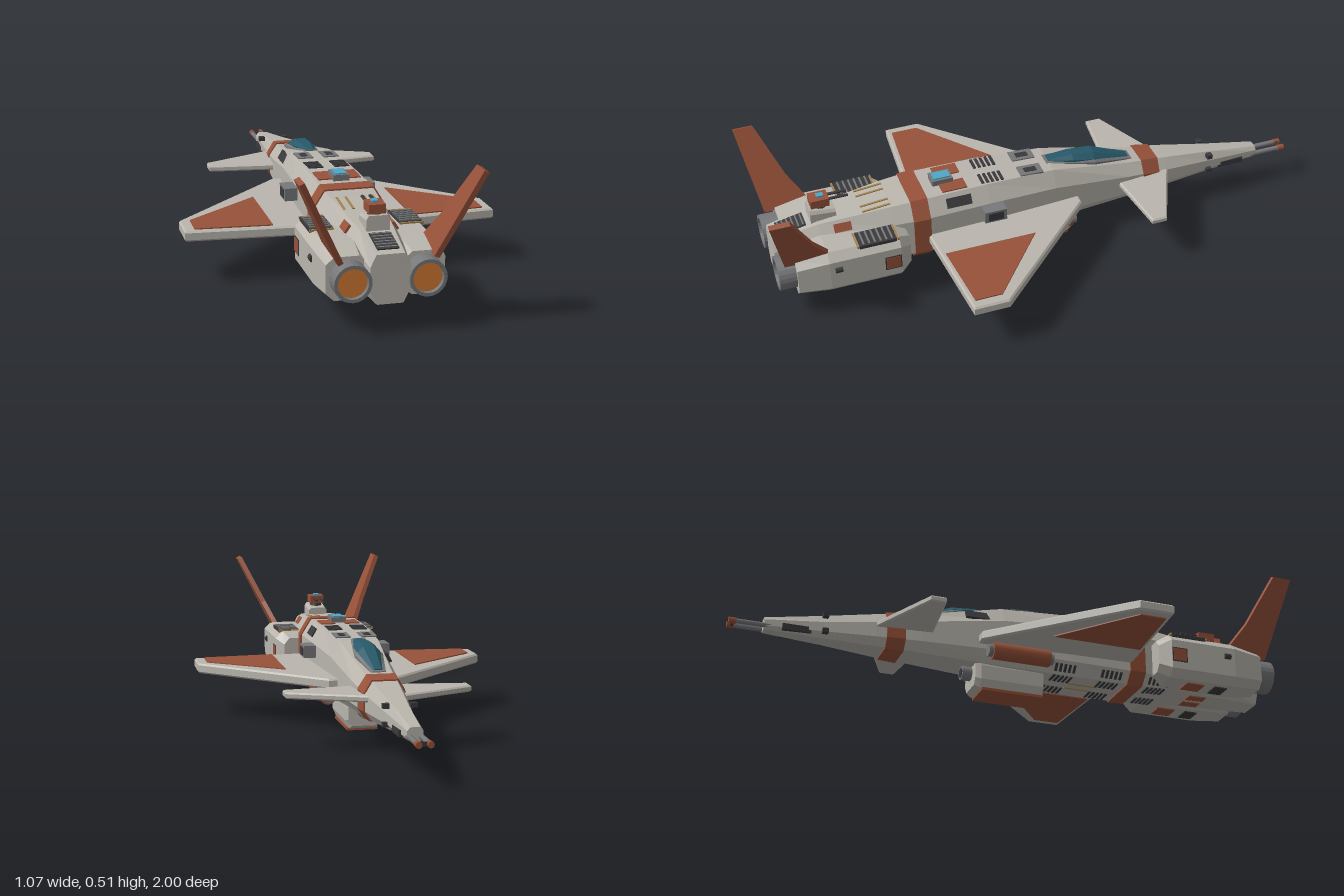
import * as THREE from 'three';

const paint = (name, color) => Object.assign(new THREE.MeshStandardMaterial({ color }), { name });

export function createModel() {
  const root = new THREE.Group();
  root.name = 'starfighter';
  const hullGrey = paint('hull grey', 0xbab6ae), rust = paint('rust red', 0x98523a),
    dark = paint('dark grey', 0x3a3a3d), steel = paint('steel grey', 0x77787a),
    glow = paint('engine orange', 0xd47a32), glass = paint('canopy teal', 0x28596a),
    blue = paint('sensor blue', 0x4fa6c8), tan = paint('tan stripe', 0xa5824e);

  const add = (name, geo, mat, x = 0, y = 0, z = 0, parent = root) => {
    const m = new THREE.Mesh(geo, mat);
    m.name = name;
    m.position.set(x, y, z);
    parent.add(m);
    return m;
  };
  const box = (name, mat, w, h, d, x, y, z) => add(name, new THREE.BoxGeometry(w, h, d), mat, x, y, z);
  const tube = (name, mat, r, len, x, y, z, sides = 12, r2 = r) =>
    add(name, new THREE.CylinderGeometry(r, r2, len, sides).rotateX(Math.PI / 2), mat, x, y, z);

  // Eight-sided loft; section = [z, top, bottom, halfWidth, topHalf, upperY, lowerY, bottomHalf]
  const ring = ([z, t, b, w, tw, yu, yl, bw], cx) =>
    [[bw, b], [w, yl], [w, yu], [tw, t], [-tw, t], [-w, yu], [-w, yl], [-bw, b]].map(([x, y]) => [x + cx, y, z]);
  const loft = (sections, cx = 0) => {
    const rings = sections.map((s) => ring(s, cx)), p = [];
    const tri = (...v) => v.forEach((q) => p.push(...q));
    for (let i = 0; i < rings.length - 1; i++) {
      for (let j = 0; j < 8; j++) {
        const k = (j + 1) % 8, A = rings[i], B = rings[i + 1];
        tri(A[j], A[k], B[k]);
        tri(A[j], B[k], B[j]);
      }
    }
    const first = rings[0], last = rings[rings.length - 1];
    for (let j = 1; j < 7; j++) {
      tri(first[0], first[j + 1], first[j]);
      tri(last[0], last[j], last[j + 1]);
    }
    const g = new THREE.BufferGeometry();
    g.setAttribute('position', new THREE.Float32BufferAttribute(p, 3));
    g.computeVertexNormals();
    return g;
  };

  // Fuselage
  const hull = [
    [-0.88, 0.172, 0.127, 0.026, 0.016, 0.16, 0.138, 0.016],
    [-0.68, 0.205, 0.12, 0.042, 0.026, 0.175, 0.14, 0.028],
    [-0.5, 0.235, 0.112, 0.064, 0.04, 0.195, 0.14, 0.045],
    [-0.34, 0.257, 0.107, 0.08, 0.05, 0.215, 0.14, 0.055],
    [-0.05, 0.315, 0.095, 0.1, 0.07, 0.255, 0.14, 0.07],
    [0.2, 0.325, 0.089, 0.115, 0.08, 0.265, 0.13, 0.08],
    [0.45, 0.324, 0.089, 0.122, 0.085, 0.265, 0.125, 0.085],
    [0.55, 0.317, 0.095, 0.112, 0.078, 0.262, 0.125, 0.08],
    [0.8, 0.293, 0.1, 0.085, 0.055, 0.25, 0.13, 0.055],
    [0.96, 0.26, 0.1, 0.064, 0.045, 0.22, 0.145, 0.042],
  ];
  const at = (z) => {
    let i = 0;
    while (i < hull.length - 2 && hull[i + 1][0] < z) i++;
    const f = (z - hull[i][0]) / (hull[i + 1][0] - hull[i][0]);
    return hull[i].map((v, k) => v + (hull[i + 1][k] - v) * f);
  };
  add('fuselage', loft(hull), hullGrey);
  const band = (name, a, b) => add(name, loft([a, b].map((z) => {
    const s = at(z), e = 0.005;
    return [z, s[1] + e, s[2] - e, s[3] + e, s[4] + e * 0.5, s[5], s[6], s[7] + e * 0.5];
  })), rust);
  band('noseBand', -0.465, -0.4);
  band('bodyBand', 0.42, 0.48);

  // Plates lying on the top, belly or upper chamfer of the fuselage
  const onFace = (k, name, mat, x, z, w, d, h = 0.008) => {
    const m = box(name, mat, w, h, d, x, at(z)[k], z);
    m.rotation.x = -Math.atan((at(z + 0.02)[k] - at(z - 0.02)[k]) / 0.04);
  };
  const onTop = (...a) => onFace(1, ...a), onBelly = (...a) => onFace(2, ...a);
  const onChamfer = (name, mat, side, z, w, d) => {
    const s = at(z);
    box(name, mat, w, 0.009, d, side * (s[3] + s[4]) / 2, (s[1] + s[5]) / 2, z)
      .rotation.z = -side * Math.atan2(s[1] - s[5], s[3] - s[4]);
  };

  // Canopy with its frame
  add('canopyFrame', loft([
    [-0.37, 0.256, 0.24, 0.026, 0.018, 0.254, 0.245, 0.02],
    [-0.22, 0.298, 0.25, 0.05, 0.04, 0.29, 0.255, 0.04],
    [-0.04, 0.319, 0.28, 0.028, 0.02, 0.315, 0.29, 0.02],
  ]), steel);
  add('canopy', loft([
    [-0.36, 0.262, 0.24, 0.02, 0.012, 0.256, 0.245, 0.015],
    [-0.22, 0.316, 0.25, 0.041, 0.02, 0.298, 0.255, 0.03],
    [-0.14, 0.324, 0.26, 0.037, 0.018, 0.31, 0.265, 0.03],
    [-0.05, 0.32, 0.29, 0.02, 0.01, 0.317, 0.295, 0.015],
  ]), glass);

  // Flat flying surfaces, given as [x, z] outlines
  const slab = (name, mat, pts, side, y, thick, bevel = 0) => {
    const shape = new THREE.Shape(pts.map(([x, z]) => new THREE.Vector2(side * x, -z)));
    const g = new THREE.ExtrudeGeometry(shape, {
      depth: thick - 2 * bevel, bevelEnabled: bevel > 0, bevelSize: bevel,
      bevelThickness: bevel, bevelOffset: -bevel, bevelSegments: 1,
    });
    add(name, g.rotateX(-Math.PI / 2), mat, 0, y + bevel, 0);
  };
  const wing = [[0.06, -0.14], [0.125, -0.14], [0.535, 0.275], [0.535, 0.4], [0.12, 0.43], [0.06, 0.43]];
  const wingPanel = [[0.24, 0.08], [0.5, 0.29], [0.5, 0.385], [0.24, 0.405]];
  const canard = [[0.03, -0.5], [0.065, -0.5], [0.32, -0.385], [0.32, -0.33], [0.06, -0.3], [0.03, -0.3]];

  for (const s of [-1, 1]) {
    slab('wing', hullGrey, wing, s, 0.157, 0.036, 0.006);
    slab('wingPanelTop', rust, wingPanel, s, 0.191, 0.006);
    slab('wingPanelBottom', rust, wingPanel, s, 0.153, 0.006);
    slab('canard', hullGrey, canard, s, 0.177, 0.022, 0.005);

    // Canted tail fin, drawn in its own plane as [z, height along fin]
    const fin = new THREE.Shape([[0.775, -0.02], [0.945, -0.02], [1, 0.288], [0.93, 0.288], [0.85, 0.1]]
      .map(([a, b]) => new THREE.Vector2(a, b)));
    const fg = new THREE.ExtrudeGeometry(fin, { depth: 0.018, bevelEnabled: false }).translate(0, 0, -0.009);
    fg.applyMatrix4(new THREE.Matrix4().makeBasis(new THREE.Vector3(0, 0, 1),
      new THREE.Vector3(s * 0.434, 0.901, 0), new THREE.Vector3(-0.901, s * 0.434, 0)));
    add('tailFin', fg, rust, s * 0.16, 0.25, 0);

    // Engine nacelle, nozzle and glow
    add('nacelle', loft([
      [0.51, 0.24, 0.12, 0.05, 0.03, 0.215, 0.145, 0.03],
      [0.55, 0.262, 0.097, 0.077, 0.05, 0.234, 0.125, 0.05],
      [0.8, 0.262, 0.097, 0.077, 0.05, 0.234, 0.125, 0.05],
      [0.91, 0.245, 0.105, 0.066, 0.04, 0.222, 0.13, 0.04],
    ], s * 0.124), hullGrey);
    const profile = [[0.05, 0.88], [0.06, 0.9], [0.06, 0.97], [0.049, 0.97], [0.047, 0.94]]
      .map(([r, h]) => new THREE.Vector2(r, h));
    const nozzle = new THREE.LatheGeometry(profile, 24).rotateX(Math.PI / 2);
    const nm = add('nozzle', nozzle.toNonIndexed(), steel, s * 0.119, 0.176, 0);
    nm.geometry.computeVertexNormals();
    tube('engineGlow', glow, 0.048, 0.02, s * 0.119, 0.176, 0.945, 24);

    // Nacelle fittings
    box('nacelleVent', dark, 0.078, 0.012, 0.13, s * 0.148, 0.261, 0.625);
    for (let i = 0; i < 6; i++) box('ventRib', steel, 0.07, 0.006, 0.006, s * 0.148, 0.268, 0.575 + i * 0.02);
    for (const z of [0.555, 0.695]) box('ventTrim', tan, 0.08, 0.008, 0.006, s * 0.148, 0.263, z);
    box('nacelleSidePanel', rust, 0.006, 0.046, 0.05, s * 0.201, 0.178, 0.58);
    box('nacelleSideTrim', dark, 0.004, 0.054, 0.058, s * 0.2005, 0.178, 0.58);
    tube('nacelleThruster', dark, 0.012, 0.025, s * 0.198, 0.2, 0.77, 8);
    box('nacelleBellyPanel', rust, 0.06, 0.006, 0.07, s * 0.124, 0.096, 0.66);
    box('nacelleBellyVent', dark, 0.06, 0.006, 0.05, s * 0.124, 0.096, 0.76);

    // Side sensor pod and underwing tank
    box('sidePod', steel, 0.045, 0.044, 0.08, s * 0.138, 0.242, 0.195);
    box('sidePodLens', dark, 0.006, 0.03, 0.055, s * 0.16, 0.242, 0.195);
    tube('tank', rust, 0.03, 0.21, s * 0.12, 0.124, 0.005);
    for (const z of [-0.108, 0.115]) tube('tankCap', steel, 0.022, 0.016, s * 0.12, 0.124, z);

    // Top hatches and vents
    onTop('topHatch', steel, s * 0.046, 0.03, 0.054, 0.085);
    onTop('topHatchInset', dark, s * 0.046, 0.03, 0.024, 0.045, 0.011);
    for (let i = 0; i < 5; i++) onTop('topSlat', dark, s * 0.046, 0.14 + i * 0.018, 0.052, 0.01);
    onTop('rustHatch', rust, s * 0.046, 0.315, 0.054, 0.09);
    onTop('rearStripe', tan, s * 0.03, 0.595, 0.007, 0.1, 0.006);
    onTop('rearStripe', tan, s * 0.06, 0.595, 0.007, 0.1, 0.006);
    onChamfer('chamferVent', dark, s, s < 0 ? -0.14 : 0.31, 0.035, 0.09);
    onChamfer('chamferPanel', rust, s, 0.72, 0.03, 0.06);

    // Belly slots and panels
    for (const z of [0.18, 0.355, 0.54]) {
      for (let i = -2; i <= 2; i++) onBelly('bellySlat', dark, s * 0.05, z + i * 0.016, 0.05, 0.009);
      for (let i = -2; i <= 2; i++) {
        const q = at(z), m = box('lowerSlot', dark, 0.03, 0.008, 0.009, s * (q[3] + q[7]) / 2, (q[2] + q[6]) / 2, z + i * 0.017);
        m.rotation.z = s * Math.atan2(q[6] - q[2], q[3] - q[7]);
      }
    }
    onBelly('bellyPanel', rust, s * 0.028, 0.72, 0.035, 0.07);
    onBelly('bellyStripe', tan, s * 0.02, 0.27, 0.006, 0.1, 0.006);

    // Nose thrusters and twin barrels
    for (const y of [0.2, 0.14]) box('noseThruster', dark, 0.022, 0.016, 0.02, s * 0.046, y, -0.675);
    box('noseIntake', dark, 0.02, 0.022, 0.1, s * 0.028, 0.14, -0.77);
    tube('noseBarrel', steel, 0.009, 0.2, s * 0.019, 0.142, -0.89, 8);
    tube('barrelMuzzle', rust, 0.011, 0.025, s * 0.019, 0.142, -0.9875, 8);
    tube('turretBarrel', dark, 0.005, 0.08, s * 0.013, 0.36, 0.72, 8);
  }
  box('muzzleBridge', dark, 0.04, 0.014, 0.008, 0, 0.142, -0.985);

  // Dorsal sensor
  box('sensorBase', steel, 0.055, 0.024, 0.075, 0, 0.333, 0.345);
  box('sensorLens', blue, 0.038, 0.008, 0.06, 0, 0.345, 0.345);

  // Rear turret
  add('turretBase', loft([
    [0.73, 0.325, 0.27, 0.036, 0.028, 0.315, 0.28, 0.036],
    [0.82, 0.338, 0.27, 0.038, 0.03, 0.325, 0.28, 0.038],
  ]), hullGrey);
  add('turretNeck', new THREE.CylinderGeometry(0.02, 0.024, 0.02, 10), dark, 0, 0.338, 0.78);
  box('turretHead', rust, 0.054, 0.03, 0.065, 0, 0.356, 0.78);
  box('turretEye', blue, 0.02, 0.008, 0.025, 0, 0.373, 0.775);

  // Tail vent
  onTop('tailVent', dark, 0, 0.885, 0.07, 0.1);
  for (let i = 0; i < 6; i++) onTop('tailRib', steel, 0, 0.845 + i * 0.016, 0.064, 0.005, 0.014);

  // Belly pod with keel plate and gun
  add('bellyPod', loft([
    [-0.14, 0.11, 0.022, 0.055, 0.055, 0.09, 0.045, 0.042],
    [-0.12, 0.11, 0.01, 0.063, 0.06, 0.09, 0.04, 0.05],
    [0.11, 0.11, 0.01, 0.063, 0.06, 0.09, 0.04, 0.05],
  ]), hullGrey);
  box('keelPlate', rust, 0.11, 0.01, 0.22, 0, 0.007, -0.005);
  tube('bellySensor', steel, 0.025, 0.05, 0, 0.078, -0.15, 14);
  tube('bellySensorLens', dark, 0.017, 0.006, 0, 0.078, -0.174, 14);
  return root;
}
